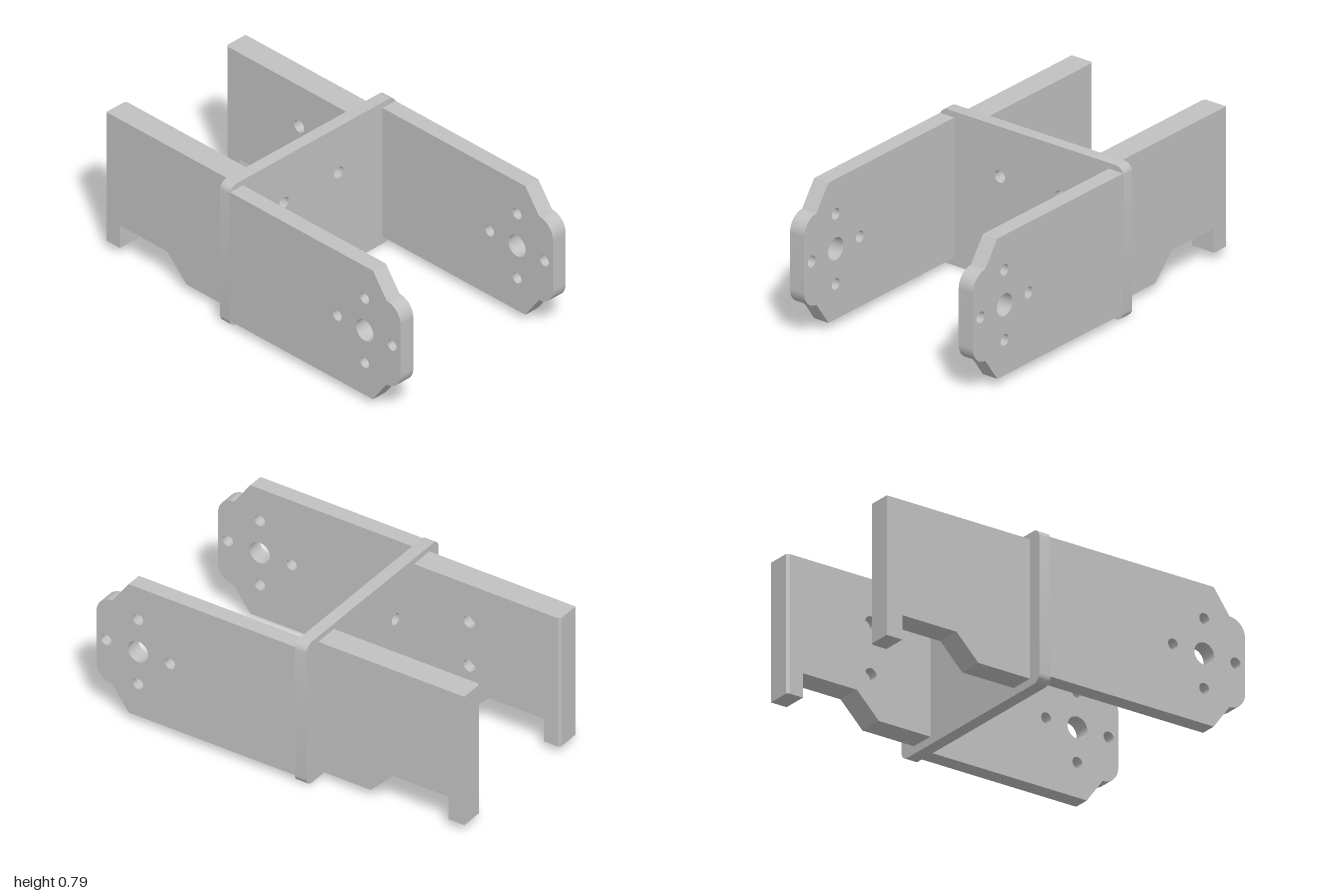
import * as THREE from 'three';
import { toCreasedNormals } from 'three/addons/utils/BufferGeometryUtils.js';

const steel = new THREE.MeshStandardMaterial({ color: 0xc0c0c0 });
steel.name = 'light grey steel';

// Adds round holes given as [x, y, radius]
function addHoles(shape, holes) {
  for (const [x, y, r] of holes) {
    const path = new THREE.Path();
    path.absarc(x, y, r, 0, Math.PI * 2, true);
    shape.holes.push(path);
  }
  return shape;
}

function extrude(shape, depth, steps = 1) {
  return new THREE.ExtrudeGeometry(shape, { depth, steps, bevelEnabled: false, curveSegments: 16 });
}

// Extrudes a side profile (z, y) so that it fills x from xMin to xMax
function sidePlate(shape, xMin, xMax, steps) {
  return extrude(shape, xMax - xMin, steps).rotateY(-Math.PI / 2).translate(xMax, 0, 0);
}

function addPart(group, name, geometry) {
  const mesh = new THREE.Mesh(toCreasedNormals(geometry, 0.4), steel);
  mesh.name = name;
  group.add(mesh);
}

// Upright cross plate with rounded corners and two through holes
function crossPlateShape() {
  const w = 0.545, h = 0.785, r = 0.045;
  const s = new THREE.Shape();
  s.absarc(w - r, r, r, -Math.PI / 2, 0, false);
  s.absarc(w - r, h - r, r, 0, Math.PI / 2, false);
  s.absarc(-w + r, h - r, r, Math.PI / 2, Math.PI, false);
  s.absarc(-w + r, r, r, Math.PI, Math.PI * 1.5, false);
  s.closePath();
  return addHoles(s, [[-0.19, 0.53, 0.031], [0.17, 0.53, 0.031]]);
}

// Front arm: tapered shoulders, rounded nose and a five-hole pattern
function frontArmShape() {
  const s = new THREE.Shape();
  s.moveTo(-0.12, 0.04);
  s.lineTo(0.82, 0.04);
  s.lineTo(0.91, 0.165);
  s.absarc(0.91, 0.255, 0.09, -Math.PI / 2, 0, false);
  s.absarc(0.91, 0.54, 0.09, 0, Math.PI / 2, false);
  s.lineTo(0.82, 0.755);
  s.lineTo(-0.12, 0.755);
  s.closePath();
  const z = 0.766, y = 0.398, d = 0.179, r = 0.029;
  return addHoles(s, [[z, y, 0.057], [z + d, y, r], [z - d, y, r], [z, y + d, r], [z, y - d, r]]);
}

// Rear arm: notch cut into the lower edge
function rearArmShape(holes) {
  const s = new THREE.Shape([
    [-0.18, 0.04], [-0.18, 0.755], [-1, 0.755], [-1, 0.04],
    [-0.91, 0.04], [-0.91, 0.165], [-0.6, 0.165], [-0.475, 0.04],
  ].map(([z, y]) => new THREE.Vector2(z, y)));
  return addHoles(s, holes);
}

// Shaves the inner vertical corner at the rear end
function chamferRear(geometry, innerX) {
  const p = geometry.attributes.position;
  for (let i = 0; i < p.count; i++) {
    if (Math.abs(p.getX(i) - innerX) < 0.002 && p.getZ(i) < -0.995) p.setZ(i, -0.988);
  }
  return geometry;
}

export function createModel() {
  const group = new THREE.Group();
  group.name = 'bracket';

  addPart(group, 'crossPlate', extrude(crossPlateShape(), 0.065).translate(0, 0, -0.18));

  addPart(group, 'leftFrontArm', sidePlate(frontArmShape(), 0.458, 0.543));
  addPart(group, 'rightFrontArm', sidePlate(frontArmShape(), -0.545, -0.46));

  // Each rear arm is a solid outer layer plus an inner layer with blind holes
  const leftHoles = [[-0.52, 0.53, 0.033], [-0.52, 0.265, 0.033]];
  const rightHoles = [[-0.49, 0.55, 0.033], [-0.49, 0.305, 0.033]];
  addPart(group, 'leftRearArm', sidePlate(rearArmShape([]), 0.37, 0.447));
  addPart(group, 'leftRearArmInner',
    chamferRear(sidePlate(rearArmShape(leftHoles), 0.317, 0.37, 5), 0.317));
  addPart(group, 'rightRearArm', sidePlate(rearArmShape([]), -0.47, -0.395));
  addPart(group, 'rightRearArmInner',
    chamferRear(sidePlate(rearArmShape(rightHoles), -0.395, -0.342, 5), -0.342));

  return group;
}
